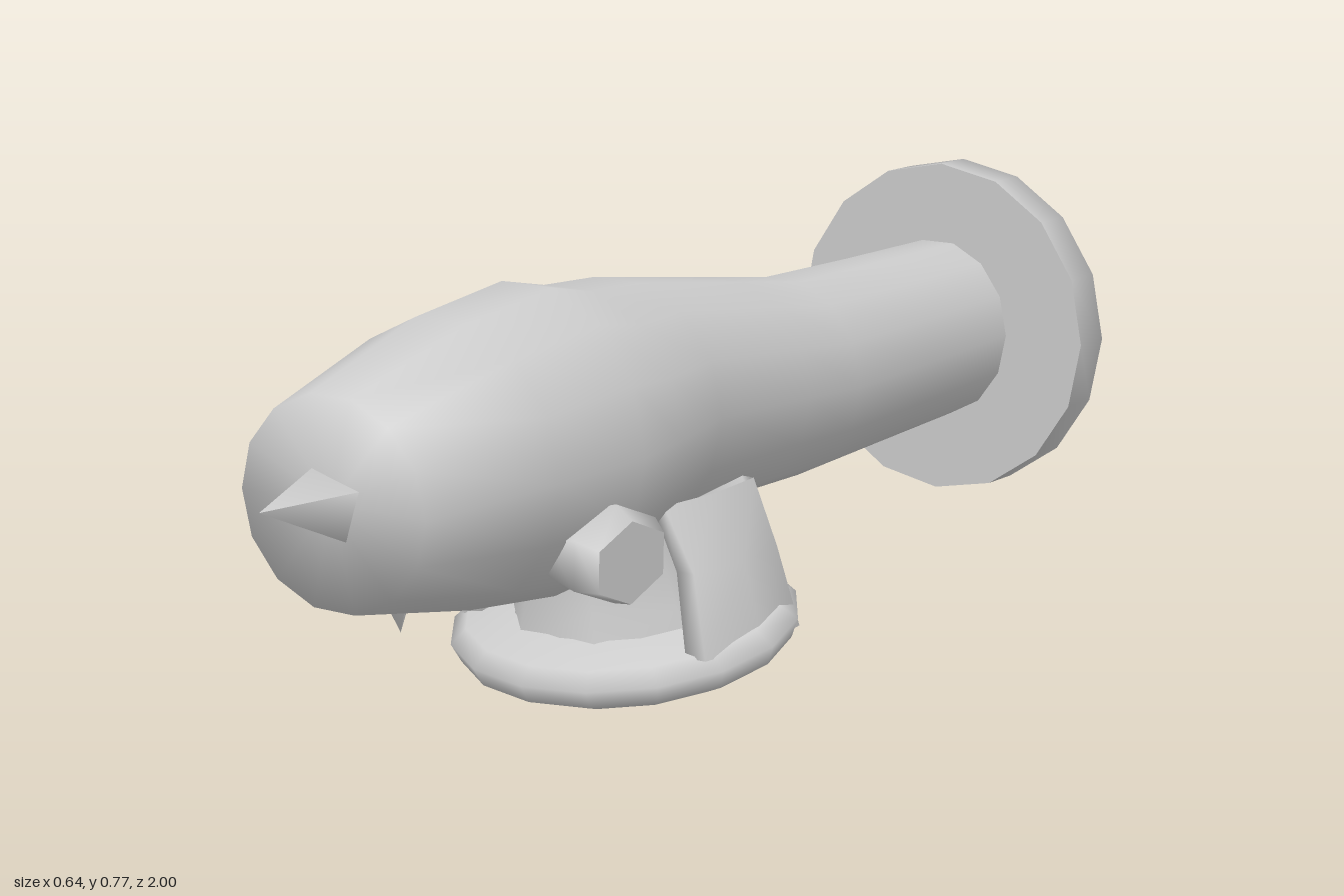
import * as THREE from 'three';

const material = new THREE.MeshStandardMaterial({ color: 0xcccccc, side: THREE.DoubleSide });

// Skin through elliptical rings [z, cx, cy, rx, ry], listed front to back.
// A repeated ring makes a sharp edge.
function loft(rings, sides = 14, start = 0) {
  const pos = [], index = [];
  for (const [z, cx, cy, rx, ry] of rings) {
    for (let i = 0; i < sides; i++) {
      const a = start + (i / sides) * Math.PI * 2;
      pos.push(cx + rx * Math.cos(a), cy + ry * Math.sin(a), z);
    }
  }
  for (let r = 0; r < rings.length - 1; r++) {
    for (let i = 0; i < sides; i++) {
      const a = r * sides + i, b = r * sides + (i + 1) % sides;
      index.push(a, a + sides, b, b, a + sides, b + sides);
    }
  }
  const g = new THREE.BufferGeometry();
  g.setAttribute('position', new THREE.Float32BufferAttribute(pos, 3));
  g.setIndex(index);
  g.computeVertexNormals();
  return g;
}

const toPoints = (list) => list.map(([x, y]) => new THREE.Vector2(x, y));

export function createModel() {
  const model = new THREE.Group();
  const add = (name, geometry, parent = model) => {
    const mesh = new THREE.Mesh(geometry, material);
    mesh.name = name;
    parent.add(mesh);
    return mesh;
  };
  // Upright part: loft heights become y
  const addUpright = (name, rings, sides, start) => {
    const mesh = add(name, loft(rings, sides, start));
    mesh.rotation.x = -Math.PI / 2;
    return mesh;
  };

  // Long barrel: blunt nose, swollen middle, slim tail
  add('barrel', loft([
    [0.835, 0.005, 0.45, 0, 0],
    [0.83, 0.005, 0.449, 0.187, 0.174],
    [0.57, 0.01, 0.465, 0.237, 0.238],
    [0.35, 0.01, 0.466, 0.238, 0.264],
    [0.24, 0.01, 0.475, 0.233, 0.232],
    [0.1, 0.005, 0.485, 0.217, 0.215],
    [-0.22, 0, 0.46, 0.184, 0.194],
    [-0.4, 0, 0.446, 0.17, 0.182],
    [-0.65, 0.005, 0.452, 0.162, 0.175],
    [-0.94, 0.005, 0.458, 0.154, 0.169],
  ], 14));

  // Pointed tip on the nose
  add('noseTip', loft([
    [1, 0.01, 0.47, 0, 0],
    [0.81, 0, 0.445, 0.08, 0.07],
  ], 4, 0.5));

  // Round end flange with a broad rim and a dished back
  const disc = (z, r) => [z, 0.01, 0.458, r, r * 1.01];
  add('endFlange', loft([
    disc(-0.92, 0.1), disc(-0.92, 0.312), disc(-0.92, 0.312),
    disc(-1, 0.312), disc(-0.997, 0.25),
    disc(-0.965, 0.15), disc(-0.945, 0),
  ], 16));

  // Faceted blocks on both flanks
  for (const [name, side, x, y, z, w, h, d] of [
    ['rightKnob', -1, -0.25, 0.337, 0.385, 0.145, 0.15, 0.22],
    ['leftKnob', 1, 0.225, 0.325, 0.43, 0.11, 0.13, 0.22],
  ]) {
    const knob = add(name, loft([
      [w / 2, 0, -0.01, 0, 0],
      [w / 2, 0, -0.01, d * 0.45, h * 0.52],
      [w / 2, 0, -0.01, d * 0.45, h * 0.52],
      [w * 0.2, 0, 0, d * 0.56, h * 0.62],
      [-w / 2, 0, 0, d * 0.42, h * 0.45],
    ], 6, 0.5));
    knob.position.set(x, y, z);
    knob.rotation.y = side * Math.PI / 2;
  }

  // Small fin hanging below the front of the barrel
  const fin = add('lowerFin', new THREE.ConeGeometry(0.05, 0.1, 3));
  fin.position.set(-0.1, 0.215, 0.55);
  fin.rotation.x = Math.PI;

  // Tilted stand, hollow underneath
  const stand = new THREE.Group();
  stand.name = 'stand';
  stand.position.set(0.007, 0.05, 0.075);
  stand.rotation.x = 0.19;
  model.add(stand);
  const plate = add('basePlate', new THREE.LatheGeometry(toPoints([
    [0, 0.085], [0.16, 0.07], [0.215, 0.01], [0.255, 0], [0.295, 0.02],
    [0.31, 0.055], [0.28, 0.08], [0.19, 0.095],
  ]), 16), stand);
  plate.scale.z = 0.94;

  // Raised back edge of the stand
  add('rearRim', new THREE.LatheGeometry(toPoints([
    [0.285, 0.05], [0.275, 0.125], [0.2, 0.13],
  ]), 6, Math.PI - 0.95, 1.9), stand);

  // Broad neck between stand and barrel
  addUpright('neck', [
    [0.36, 0, -0.09, 0.15, 0.2],
    [0.26, 0, -0.09, 0.15, 0.18],
    [0.16, 0, -0.085, 0.185, 0.19],
    [0.09, 0, -0.08, 0.21, 0.2],
  ], 8, Math.PI / 8);

  // Side cheeks of the bracket, the left one standing wider
  addUpright('rightCheek', [
    [0.35, -0.155, -0.08, 0.025, 0.15],
    [0.23, -0.17, -0.08, 0.035, 0.14],
    [0.1, -0.23, -0.075, 0.045, 0.16],
  ], 6);
  addUpright('leftCheek', [
    [0.35, 0.17, -0.08, 0.025, 0.15],
    [0.24, 0.22, -0.08, 0.035, 0.14],
    [0.1, 0.25, -0.075, 0.04, 0.16],
  ], 6);

  return model;
}
